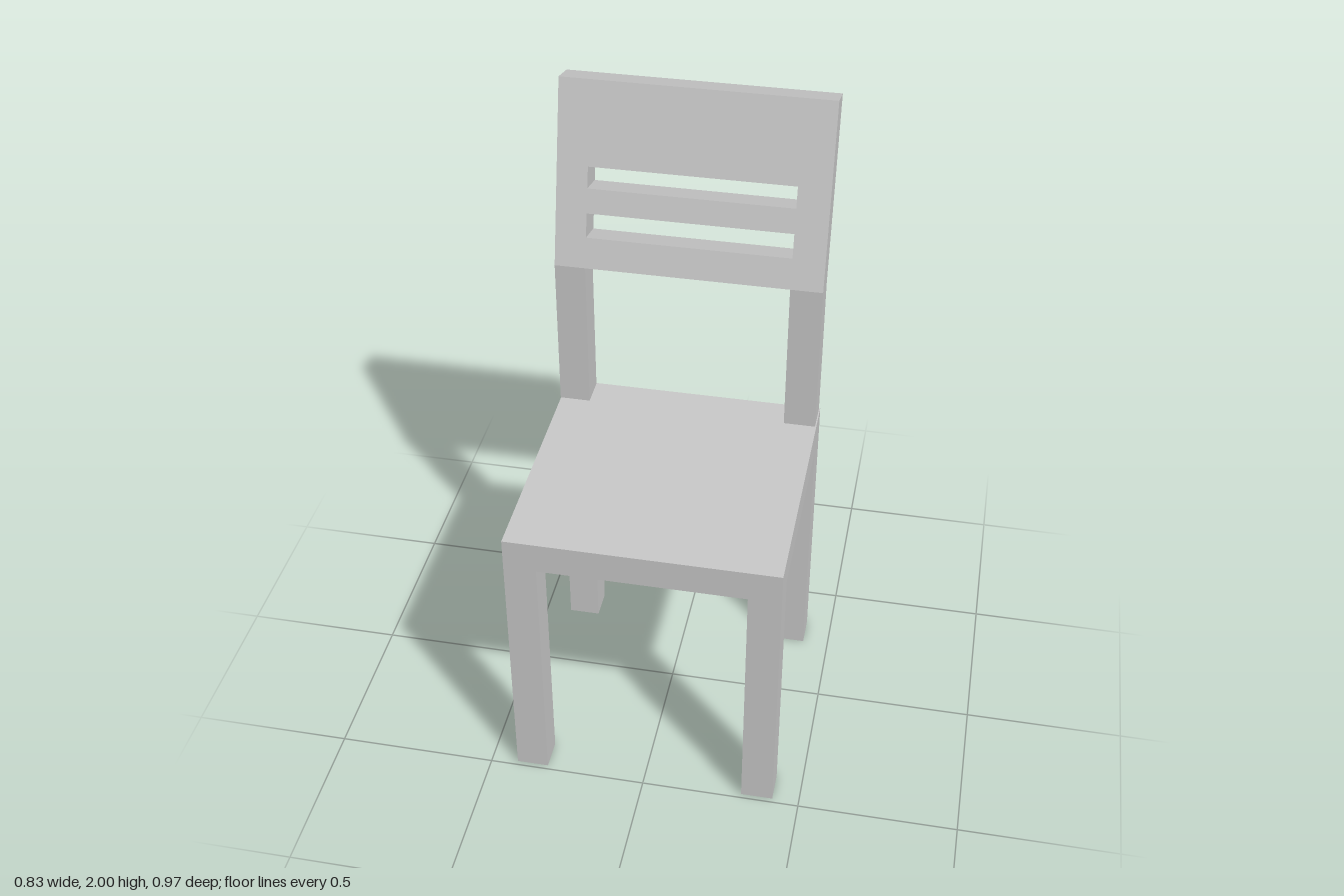
import * as THREE from 'three';

export function createModel() {
  const group = new THREE.Group();
  group.name = 'chair';
  const material = new THREE.MeshStandardMaterial({ color: 0xcccccc, flatShading: true });

  const add = (name, geometry) => {
    const mesh = new THREE.Mesh(geometry, material);
    mesh.name = name;
    group.add(mesh);
    return mesh;
  };
  // box given by its limits on each axis
  const box = (name, x0, x1, y0, y1, z0, z1) =>
    add(name, new THREE.BoxGeometry(x1 - x0, y1 - y0, z1 - z0))
      .position.set((x0 + x1) / 2, (y0 + y1) / 2, (z0 + z1) / 2);
  const polygon = (points, Type = THREE.Shape) =>
    new Type(points.map(([x, y]) => new THREE.Vector2(x, y)));
  const rect = (x0, x1, y0, y1) => [[x0, y0], [x1, y0], [x1, y1], [x0, y1]];

  // seat slab
  const seatBottom = 0.835, seatTop = 0.935;
  box('seat', -0.416, 0.416, seatBottom, seatTop, -0.345, 0.485);

  // four square legs
  for (const [side, x0] of [['Right', -0.416], ['Left', 0.316]]) {
    box('frontLeg' + side, x0, x0 + 0.1, 0, seatBottom, 0.388, 0.485);
    box('backLeg' + side, x0, x0 + 0.1, 0, seatBottom, -0.345, -0.245);
  }

  // upright posts, cut at a slant where the backrest leans back
  const tilt = Math.atan2(0.14, 0.565);
  const thickness = 0.1;
  const frontZ = -0.245, bendY = 1.436;
  const rearZ = frontZ - thickness * Math.cos(tilt);
  const rearY = bendY - thickness * Math.sin(tilt);
  const profile = polygon([[rearZ, seatTop], [frontZ, seatTop], [frontZ, bendY], [rearZ, rearY]]);
  for (const [side, x0, x1] of [['Right', -0.417, -0.321], ['Left', 0.312, 0.412]]) {
    const post = new THREE.ExtrudeGeometry(profile, { depth: x1 - x0, bevelEnabled: false });
    post.rotateY(-Math.PI / 2);
    add('backPost' + side, post).position.x = x1;
  }

  // leaning backrest panel with two slots
  const panel = polygon(rect(-0.417, 0.412, 0, 0.582));
  for (const [low, high] of [[0.098, 0.174], [0.252, 0.319]]) {
    panel.holes.push(polygon(rect(-0.321, 0.312, low, high).reverse(), THREE.Path));
  }
  const backrest = new THREE.ExtrudeGeometry(panel, { depth: thickness, bevelEnabled: false });
  backrest.translate(0, 0, -thickness);
  const back = add('backrest', backrest);
  back.rotation.x = -tilt;
  back.position.set(0, bendY, frontZ);

  return group;
}
